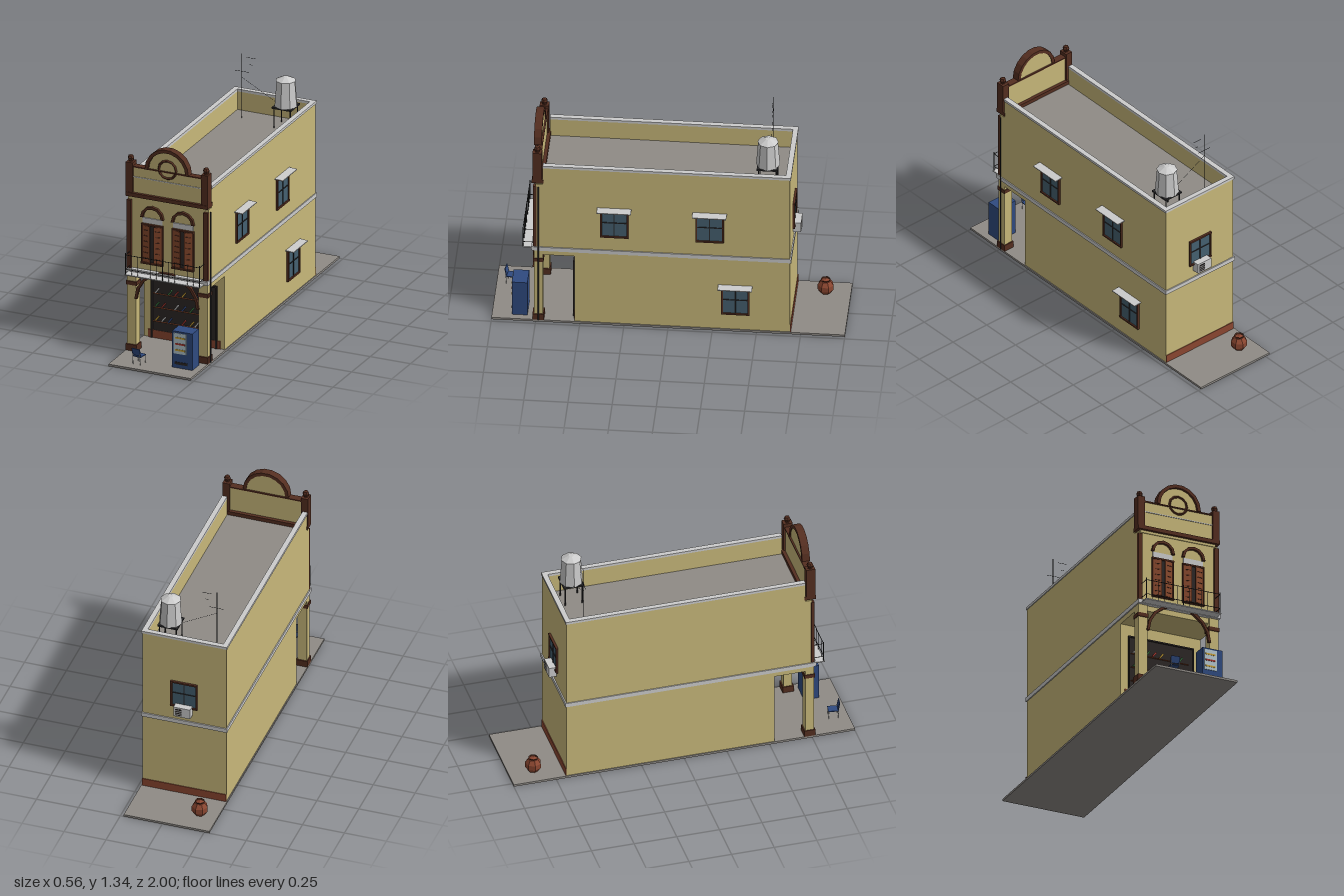
import * as THREE from 'three';

const mats = {};
const mat = (color) => (mats[color] ??= new THREE.MeshStandardMaterial({ color, flatShading: true, side: THREE.DoubleSide }));
const WALL = 0xc8b87a, BROWN = 0x542e20, WOOD = 0x8a4a2e, DARK = 0x2c2726, GREY = 0xcccccc,
  STONE = 0x8f8b86, GLASS = 0x456070, BLUE = 0x2f4a80, IRON = 0x2a2a2c, BRICK = 0x8a4630;

function add(parent, name, geo, color, x = 0, y = 0, z = 0) {
  const m = new THREE.Mesh(geo, mat(color));
  m.name = name;
  m.position.set(x, y, z);
  parent.add(m);
  return m;
}
// Box given by its extents on each axis
function box(parent, name, color, x0, x1, y0, y1, z0, z1) {
  return add(parent, name, new THREE.BoxGeometry(x1 - x0, y1 - y0, z1 - z0), color, (x0 + x1) / 2, (y0 + y1) / 2, (z0 + z1) / 2);
}
function rod(parent, name, color, a, b, r = 0.002) {
  const p = new THREE.Vector3(...a), q = new THREE.Vector3(...b);
  const m = add(parent, name, new THREE.CylinderGeometry(r, r, p.distanceTo(q), 5), color);
  m.position.copy(p).lerp(q, 0.5);
  m.quaternion.setFromUnitVectors(new THREE.Vector3(0, 1, 0), q.sub(p).normalize());
  return m;
}
// Half-round outline; with a thickness t it becomes an arched band
function arch(parent, name, color, x, y, z, rx, ry, t, depth, n = 8) {
  const pts = [];
  const sweep = (a, b, back) => {
    for (let i = 0; i <= n; i++) {
      const k = (back ? n - i : i) / n * Math.PI;
      pts.push(new THREE.Vector2(Math.cos(k) * a, Math.sin(k) * b));
    }
  };
  sweep(rx, ry, false);
  if (t) sweep(rx - t, ry - t, true);
  const geo = new THREE.ExtrudeGeometry(new THREE.Shape(pts), { depth, bevelEnabled: false });
  return add(parent, name, geo, color, x, y, z);
}
// Glazed window facing +z, centred on its own origin
function glazedWindow(w, h, awning) {
  const g = new THREE.Group();
  g.name = 'window';
  box(g, 'glass', GLASS, -w / 2, w / 2, -h / 2, h / 2, -0.004, 0.004);
  for (const s of [-1, 1]) {
    box(g, 'frameSide', BROWN, s * w / 2 - 0.005, s * w / 2 + 0.005, -h / 2, h / 2, -0.004, 0.011);
    box(g, 'frameRail', BROWN, -w / 2 - 0.005, w / 2 + 0.005, s * h / 2 - 0.005, s * h / 2 + 0.005, -0.004, 0.012);
  }
  box(g, 'mullion', IRON, -0.003, 0.003, -h / 2, h / 2, 0, 0.008);
  box(g, 'glazingBar', IRON, -w / 2, w / 2, 0.005, 0.01, 0, 0.008);
  if (awning) box(g, 'awning', GREY, -0.097, 0.097, h / 2 + 0.011, h / 2 + 0.016, 0, 0.05).rotation.x = 0.06;
  return g;
}

export function createModel() {
  const root = new THREE.Group();
  root.name = 'shophouse';
  const g = new THREE.Group();
  g.name = 'building';
  g.position.x = -0.025;
  root.add(g);

  // Ground, storeys and roof
  box(g, 'pavement', STONE, -0.255, 0.255, 0, 0.013, -1, 1);
  box(g, 'groundStorey', WALL, -0.25, 0.25, 0.012, 0.46, -0.69, 0.53);
  box(g, 'upperStorey', WALL, -0.25, 0.25, 0.46, 0.945, -0.69, 0.75);
  box(g, 'roof', STONE, -0.23, 0.23, 0.94, 0.95, -0.67, 0.72);
  for (const s of [-1, 1]) {
    box(g, 'sideParapet', WALL, s * 0.2375 - 0.0125, s * 0.2375 + 0.0125, 0.945, 1.06, -0.69, 0.71);
    box(g, 'sideCoping', GREY, s * 0.24 - 0.015, s * 0.24 + 0.015, 1.06, 1.075, -0.695, 0.71);
    box(g, 'sideBand', GREY, s * 0.2525 - 0.0035, s * 0.2525 + 0.0035, 0.49, 0.515, -0.695, 0.77);
  }
  box(g, 'backParapet', WALL, -0.25, 0.25, 0.945, 1.06, -0.69, -0.665);
  box(g, 'backCoping', GREY, -0.255, 0.255, 1.06, 1.075, -0.695, -0.665);
  box(g, 'backBand', GREY, -0.256, 0.256, 0.49, 0.515, -0.697, -0.69);
  box(g, 'backPlinth', BRICK, -0.25, 0.25, 0.013, 0.06, -0.694, -0.69);

  // Arcade columns, pilasters and parapet posts
  for (const s of [-1, 1]) {
    const col = (name, color, x, w, y0, y1, z0, z1) => box(g, name, color, s * x - w / 2, s * x + w / 2, y0, y1, z0, z1);
    col('column', WALL, 0.222, 0.056, 0.013, 0.49, 0.71, 0.76);
    col('columnBase', BROWN, 0.222, 0.068, 0.013, 0.052, 0.703, 0.768);
    col('columnCapital', BROWN, 0.222, 0.066, 0.413, 0.436, 0.705, 0.766);
    col('pilaster', BROWN, 0.238, 0.026, 0.515, 0.93, 0.745, 0.765);
    col('parapetPost', BROWN, 0.234, 0.042, 0.975, 1.16, 0.715, 0.768);
    add(g, 'finialNeck', new THREE.CylinderGeometry(0.01, 0.014, 0.012, 6), BROWN, s * 0.234, 1.164, 0.742);
    add(g, 'finial', new THREE.SphereGeometry(0.02, 6, 4), BROWN, s * 0.234, 1.18, 0.742);
  }
  arch(g, 'arcadeArch', BROWN, 0, 0.335, 0.755, 0.2, 0.19, 0.016, 0.016, 9);

  // Decorated front parapet
  box(g, 'cornice', BROWN, -0.255, 0.255, 0.955, 0.978, 0.705, 0.772);
  box(g, 'frontParapet', WALL, -0.235, 0.235, 0.94, 1.133, 0.725, 0.755);
  box(g, 'parapetCap', BROWN, -0.235, 0.235, 1.131, 1.138, 0.72, 0.762);
  box(g, 'parapetMoulding', GREY, -0.213, 0.213, 1.07, 1.075, 0.75, 0.759);
  arch(g, 'pediment', WALL, 0, 1.135, 0.73, 0.125, 0.128, 0, 0.024, 9);
  arch(g, 'pedimentRim', BROWN, 0, 1.135, 0.725, 0.137, 0.14, 0.02, 0.045, 9);
  add(g, 'medallionRing', new THREE.TorusGeometry(0.054, 0.007, 4, 12), BROWN, 0, 1.15, 0.758);

  // Shuttered upper windows
  for (const x of [-0.095, 0.095]) {
    const w = new THREE.Group();
    w.name = 'shutteredWindow';
    w.position.set(x, 0, 0.75);
    g.add(w);
    box(w, 'opening', DARK, -0.062, 0.062, 0.565, 0.79, -0.002, 0.003);
    for (const s of [-1, 1]) {
      box(w, 'jamb', BROWN, s * 0.064 - 0.004, s * 0.064 + 0.004, 0.56, 0.797, 0, 0.012);
      const leaf = new THREE.Group();
      leaf.name = 'shutter';
      leaf.position.set(s * 0.06, 0.678, 0.004);
      leaf.rotation.y = s * 0.16;
      w.add(leaf);
      const a = s > 0 ? -0.05 : 0, b = a + 0.05;
      box(leaf, 'shutterPanel', WOOD, a, b, -0.11, 0.11, 0, 0.005);
      for (let i = 0; i < 6; i++) box(leaf, 'louvre', BROWN, a + 0.01, b - 0.01, -0.088 + i * 0.034, -0.084 + i * 0.034, 0.004, 0.008);
    }
    box(w, 'windowSill', BROWN, -0.068, 0.068, 0.556, 0.565, 0, 0.016);
    box(w, 'windowHead', BROWN, -0.068, 0.068, 0.79, 0.799, 0, 0.014);
    box(w, 'canopy', GREY, -0.062, 0.062, 0.803, 0.834, 0, 0.006);
    arch(w, 'hoodMould', BROWN, 0, 0.838, 0, 0.072, 0.072, 0.016, 0.016, 6);
  }

  // Balcony ledge and railing
  box(g, 'balconyLedge', GREY, -0.256, 0.256, 0.492, 0.516, 0.745, 0.775);
  box(g, 'balconyFloor', GREY, -0.235, 0.235, 0.494, 0.5, 0.77, 0.83);
  for (const y of [0.53, 0.617]) {
    rod(g, 'rail', IRON, [-0.23, y, 0.824], [0.23, y, 0.824]);
    for (const s of [-1, 1]) rod(g, 'returnRail', IRON, [s * 0.23, y, 0.76], [s * 0.23, y, 0.824]);
  }
  for (let i = 0; i <= 12; i++) rod(g, 'baluster', IRON, [-0.23 + i * 0.46 / 12, 0.5, 0.824], [-0.23 + i * 0.46 / 12, i % 6 ? 0.617 : 0.628, 0.824], i % 6 ? 0.0013 : 0.003);

  // Shop front with stocked shelves
  box(g, 'shopOpening', DARK, -0.195, 0.205, 0.06, 0.39, 0.525, 0.534);
  box(g, 'shopPlinth', BRICK, -0.225, 0.225, 0.013, 0.06, 0.525, 0.536);
  for (const s of [-1, 1]) box(g, 'shopJamb', DARK, s * 0.2 - 0.004, s * 0.2 + 0.004, 0.013, 0.39, 0.525, 0.542);
  box(g, 'shopHead', DARK, -0.204, 0.204, 0.385, 0.393, 0.525, 0.542);
  const goods = [0xc9a23a, 0x3d7a45, 0xdddddd, 0xa83a32, 0x35508c];
  [0.118, 0.203, 0.287].forEach((y, row) => {
    box(g, 'shelf', WOOD, -0.19, 0.17, y - 0.003, y, 0.533, 0.543);
    [-0.165, -0.125, -0.085, -0.045, 0, 0.05, 0.08, 0.12].forEach((x, i) => {
      if ((i + row) % 4 === 3) return;
      add(g, 'goods', new THREE.BoxGeometry(0.009, 0.036, 0.008), goods[(i * 2 + row) % 5], x, y + 0.018, 0.54).rotation.z = -0.65;
    });
  });

  // Side and back windows
  for (const [y, z] of [[0.7, 0.305], [0.7, -0.235], [0.21, -0.38]]) {
    const w = glazedWindow(0.15, 0.175, true);
    w.position.set(0.251, y, z);
    w.rotation.y = Math.PI / 2;
    g.add(w);
  }
  const back = glazedWindow(0.15, 0.16, false);
  back.position.set(0, 0.69, -0.691);
  back.rotation.y = Math.PI;
  g.add(back);

  // Air conditioner on the back wall
  box(g, 'airConditioner', GREY, -0.05, 0.05, 0.563, 0.625, -0.735, -0.69);
  box(g, 'airConditionerGrille', DARK, 0, 0.04, 0.572, 0.615, -0.737, -0.734);
  for (let i = 0; i < 3; i++) box(g, 'grilleSlat', GREY, 0, 0.04, 0.58 + i * 0.012, 0.584 + i * 0.012, -0.739, -0.735);

  // Downpipe
  rod(g, 'downpipe', IRON, [0.258, 0.013, 0.735], [0.258, 0.93, 0.735], 0.004);

  // Roof water tank on its stand
  const tank = new THREE.Group();
  tank.name = 'waterTank';
  tank.position.set(0.127, 0, -0.555);
  g.add(tank);
  box(tank, 'tankPlatform', IRON, -0.06, 0.06, 1.068, 1.078, -0.06, 0.06);
  for (const x of [-0.05, 0.05]) for (const z of [-0.05, 0.05]) rod(tank, 'tankLeg', IRON, [x, 0.95, z], [x, 1.07, z], 0.004);
  add(tank, 'tankBody', new THREE.CylinderGeometry(0.056, 0.068, 0.155, 8), GREY, 0, 1.155, 0);
  add(tank, 'tankLid', new THREE.CylinderGeometry(0.015, 0.06, 0.022, 8), GREY, 0, 1.243, 0);

  // Aerial
  rod(g, 'aerialMast', IRON, [-0.15, 0.95, -0.56], [-0.15, 1.343, -0.56], 0.002);
  for (const [y, x0, x1] of [[1.235, -0.19, -0.105], [1.325, -0.12, -0.065], [1.283, -0.1, -0.083]])
    rod(g, 'aerialElement', IRON, [x0, y, -0.56], [x1, y, -0.56], 0.0012);
  rod(g, 'guyWire', IRON, [-0.15, 1.2, -0.56], [0.07, 1.08, -0.56], 0.0008);

  // Drinks fridge
  box(g, 'fridge', BLUE, 0.09, 0.215, 0.013, 0.235, 0.8, 0.888);
  box(g, 'fridgeGlass', 0xb5c8cf, 0.1, 0.178, 0.1, 0.225, 0.885, 0.891);
  for (let i = 0; i < 3; i++) box(g, 'bottleRow', goods[i === 1 ? 3 : 0], 0.108, 0.17, 0.118 + i * 0.037, 0.128 + i * 0.037, 0.89, 0.893);
  box(g, 'fridgeVent', DARK, 0.105, 0.185, 0.035, 0.05, 0.886, 0.891);

  // Chair facing the shop
  const chair = new THREE.Group();
  chair.name = 'chair';
  chair.position.set(-0.103, 0, 0.915);
  chair.rotation.y = -0.15;
  g.add(chair);
  box(chair, 'chairSeat', BLUE, -0.027, 0.027, 0.06, 0.065, -0.03, 0.028);
  box(chair, 'chairBack', BLUE, -0.027, 0.027, 0.07, 0.113, 0.028, 0.033).rotation.x = 0.2;
  for (const x of [-0.024, 0.024]) {
    rod(chair, 'frontLeg', GREY, [x, 0.013, -0.028], [x, 0.06, -0.026], 0.0018);
    rod(chair, 'backLeg', GREY, [x, 0.013, 0.026], [x, 0.1, 0.031], 0.0018);
  }

  // Clay pot behind the house
  add(g, 'clayPot', new THREE.SphereGeometry(0.049, 7, 5), BRICK, -0.15, 0.056, -0.857);
  add(g, 'potRim', new THREE.CylinderGeometry(0.028, 0.024, 0.012, 7, 1, true), BROWN, -0.15, 0.1, -0.857);

  return root;
}
